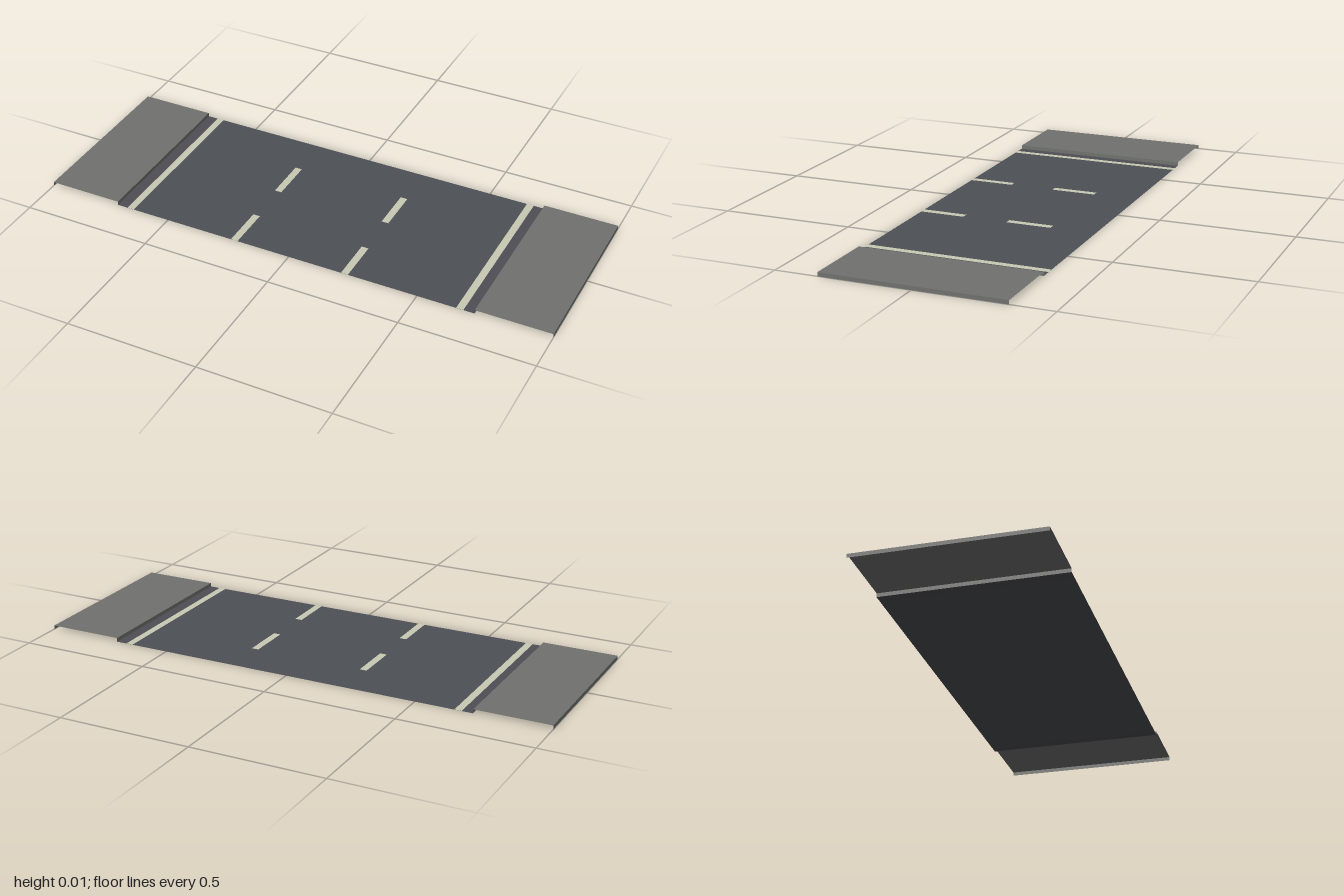
import * as THREE from 'three';

const HALF_DEPTH = 0.34;
const CURB_X = 0.715;    // where the pavement begins
const GUTTER_X = 0.675;  // where the gutter begins
const PAVEMENT_Y = 0.0145;

function makeMaterial(name, color) {
  const material = new THREE.MeshStandardMaterial({ color, side: THREE.DoubleSide });
  material.name = name;
  return material;
}

export function createModel() {
  const asphalt = makeMaterial('asphalt', 0x4d5055);
  const gutterGrey = makeMaterial('gutter grey', 0x4e4e54);
  const concrete = makeMaterial('concrete', 0x70726e);
  const paint = makeMaterial('road paint', 0xc9cab4);

  const model = new THREE.Group();
  model.name = 'roadSection';

  // Horizontal sheet between two x and two z limits
  function sheet(name, material, x0, x1, y, z0 = -HALF_DEPTH, z1 = HALF_DEPTH) {
    const geometry = new THREE.PlaneGeometry(Math.abs(x1 - x0), z1 - z0);
    geometry.rotateX(-Math.PI / 2);
    const mesh = new THREE.Mesh(geometry, material);
    mesh.name = name;
    mesh.position.set((x0 + x1) / 2, y, (z0 + z1) / 2);
    model.add(mesh);
  }

  // Upright strip running along z, facing along +x or -x
  function wall(name, x, facing) {
    const geometry = new THREE.PlaneGeometry(2 * HALF_DEPTH, PAVEMENT_Y);
    geometry.rotateY(facing * Math.PI / 2);
    const mesh = new THREE.Mesh(geometry, concrete);
    mesh.name = name;
    mesh.position.set(x, PAVEMENT_Y / 2, 0);
    model.add(mesh);
  }

  sheet('roadSurface', asphalt, -GUTTER_X, GUTTER_X, 0);

  for (const [side, s] of [['left', 1], ['right', -1]]) {
    // Raised pavement, open at the ends and below
    sheet(`${side}Pavement`, concrete, s * CURB_X, s, PAVEMENT_Y);
    wall(`${side}CurbFace`, s * CURB_X, -s);
    wall(`${side}OuterEdge`, s, s);
    sheet(`${side}Gutter`, gutterGrey, s * GUTTER_X, s * CURB_X, 0);

    // Painted edge line and lane dashes
    sheet(`${side}EdgeLine`, paint, s * 0.647, s * 0.674, 0.0006);
    for (const z of [-0.17, 0.17]) {
      sheet(`${side}LaneDash`, paint, s * 0.208, s * 0.235, 0.0006, z, z + 0.17);
    }
  }
  return model;
}
